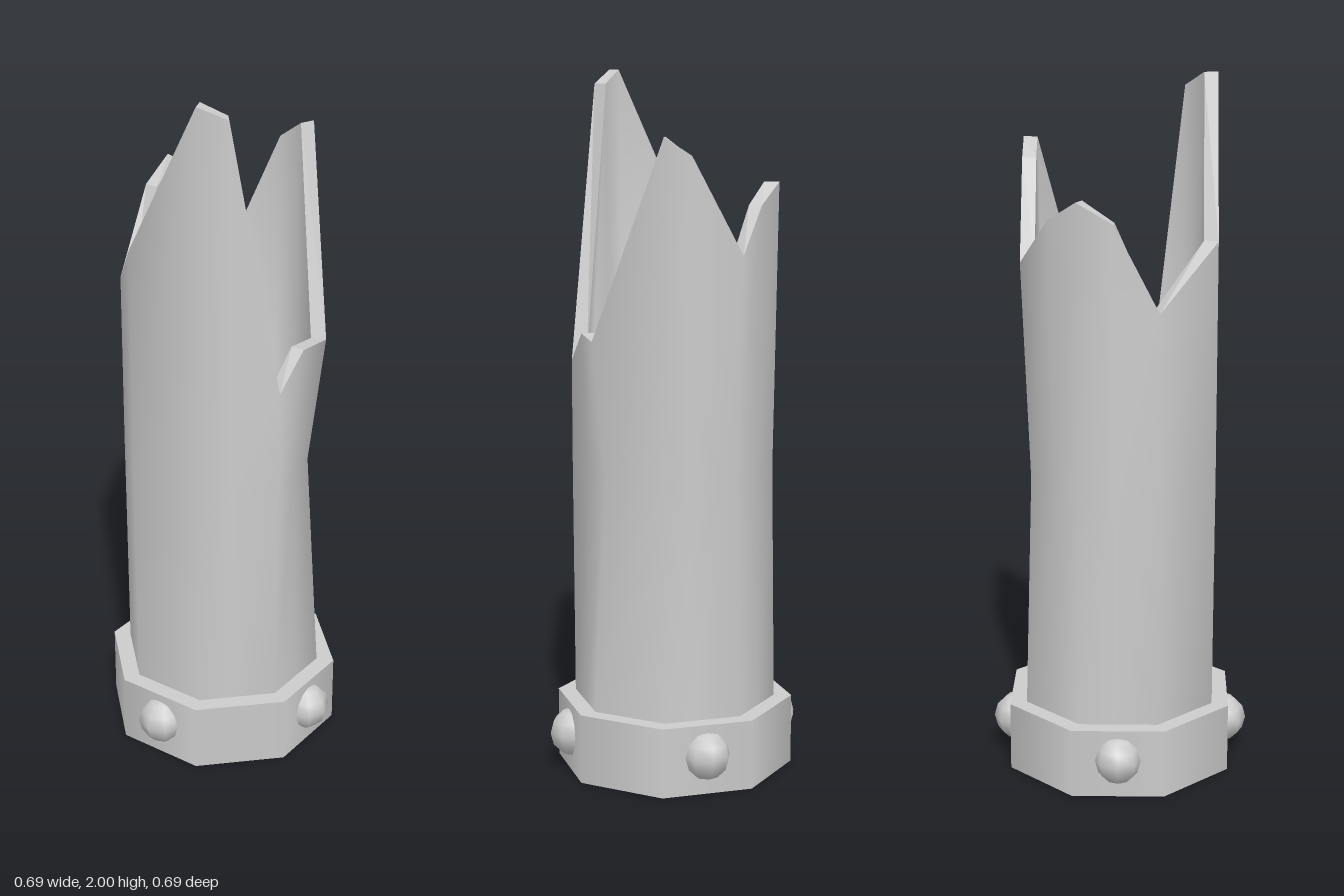
import * as THREE from 'three';

// Broken rim: [corner position around the octagon (0 = front, 2 = +x), height]
const RIM = [
  [0, 1.18], [0.5, 1.27], [1, 1.26], [2, 1.82], [2.35, 1.77], [3, 1.5], [3.5, 1.63],
  [4, 1.69], [4.45, 1.63], [5, 1.39], [6, 1.56], [7, 2.0], [7.38, 1.96],
];
const OUTER = 0.295, INNER = 0.252;
// Inward dent of each corner halfway up the wall
const DENT = [0, 0.045, 0.012, 0.025, 0.013, 0, 0, 0.005];

// Point on an octagon with the given corner radii
function octPoint(t, y, radius) {
  const k = Math.floor(t), f = t - k;
  const corner = (i) => {
    const a = (i * Math.PI) / 4, r = radius(i % 8);
    return new THREE.Vector3(Math.sin(a) * r, y, Math.cos(a) * r);
  };
  return corner(k).lerp(corner(k + 1), f);
}

// Skins closed loops of equal length, smooth unless flat
function skin(loops, flat = false) {
  const n = loops[0].length, index = [];
  for (let j = 0; j < loops.length - 1; j++) {
    for (let i = 0; i < n; i++) {
      const a = j * n + i, b = j * n + ((i + 1) % n);
      index.push(a, b, b + n, a, b + n, a + n);
    }
  }
  let g = new THREE.BufferGeometry().setFromPoints(loops.flat());
  g.setIndex(index);
  if (flat) g = g.toNonIndexed();
  g.computeVertexNormals();
  return g;
}

export function createModel() {
  const model = new THREE.Group();
  const material = new THREE.MeshStandardMaterial({ color: 0xcccccc });
  const add = (name, geometry) => {
    const mesh = new THREE.Mesh(geometry, material);
    mesh.name = name;
    model.add(mesh);
    return mesh;
  };
  const loop = (height, radius) => RIM.map(([t, y]) => octPoint(t, height ?? y, radius));

  const outerRim = loop(null, () => OUTER);
  const innerRim = loop(null, () => INNER);

  // Dented outer wall
  add('outerWall', skin([
    loop(0.19, () => OUTER - 0.003),
    loop(0.88, (i) => OUTER - DENT[i]),
    outerRim,
  ]));

  // Jagged broken edge
  add('brokenEdge', skin([outerRim, innerRim], true));

  // Hollow inside, closed by a shallow floor
  add('hollow', skin([
    innerRim,
    loop(1.05, () => INNER - 0.01),
    loop(1.0, () => 0.001),
  ]));

  // Octagonal base collar
  add('baseCollar', new THREE.CylinderGeometry(0.343, 0.343, 0.2, 8)).position.y = 0.1;

  // Four rivets around the collar
  const rivet = new THREE.SphereGeometry(0.07, 8, 6);
  for (let i = 0; i < 4; i++) {
    const a = Math.PI / 8 + (i * Math.PI) / 2;
    const mesh = add('rivet', rivet);
    mesh.position.set(Math.sin(a) * 0.304, 0.11, Math.cos(a) * 0.304);
    mesh.rotation.y = a;
  }
  return model;
}
